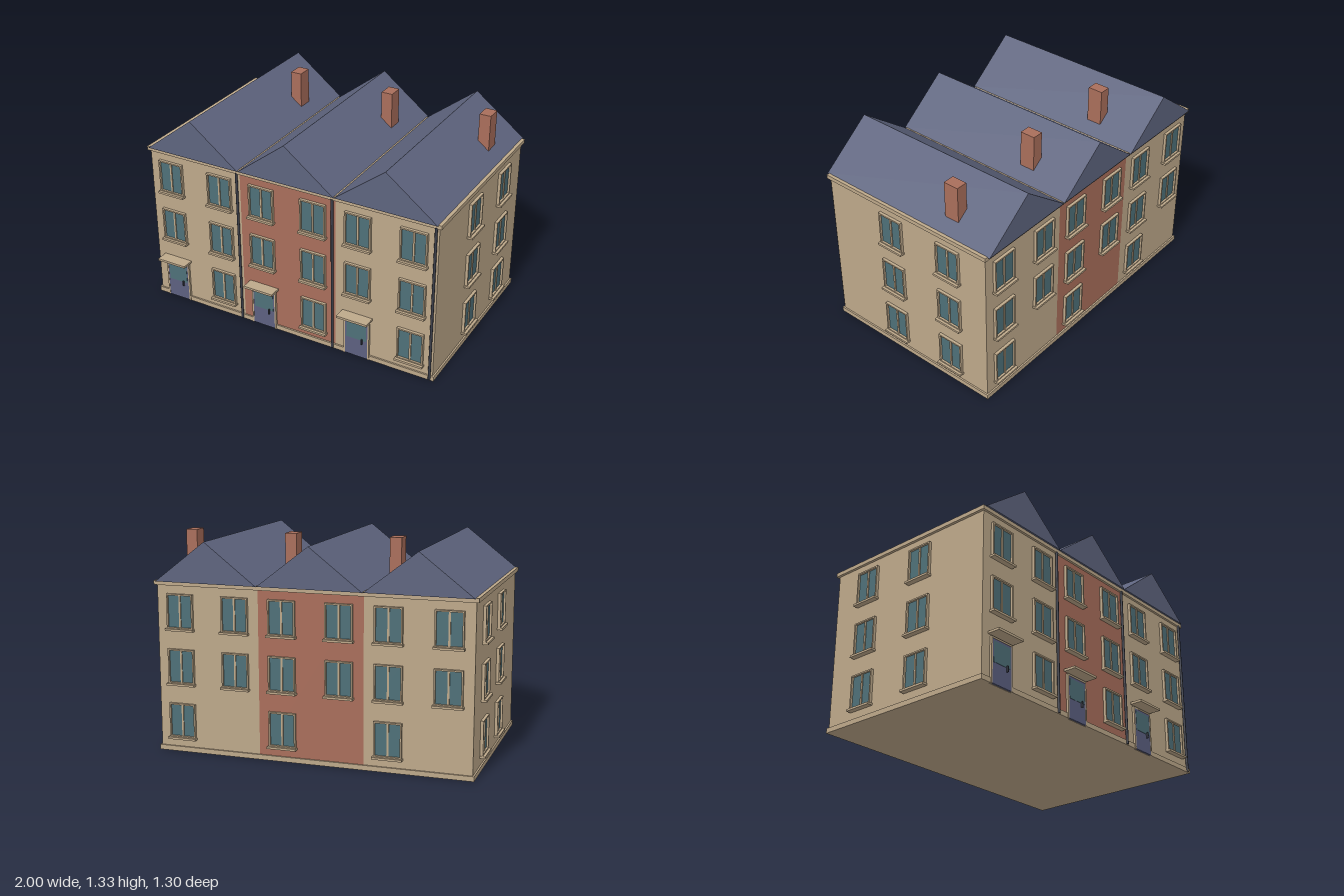
import * as THREE from 'three';

const mat = (name, color) => {
  const m = new THREE.MeshStandardMaterial({ color });
  m.name = name;
  return m;
};

export function createModel() {
  const stone = mat('stone', 0xbda88a);
  const brick = mat('brick', 0xa96e5b);
  const slate = mat('slate', 0x5e647e);
  const glass = mat('glass', 0x4e7078);
  const doorPaint = mat('doorPaint', 0x5c6080);
  const iron = mat('iron', 0x3a3d48);

  const model = new THREE.Group();
  model.name = 'terracedHouses';

  // Box given by its lower and upper limits on each axis
  const box = (parent, name, material, [x0, x1], [y0, y1], [z0, z1]) => {
    const mesh = new THREE.Mesh(new THREE.BoxGeometry(x1 - x0, y1 - y0, z1 - z0), material);
    mesh.position.set((x0 + x1) / 2, (y0 + y1) / 2, (z0 + z1) / 2);
    mesh.name = name;
    parent.add(mesh);
    return mesh;
  };

  const WALL_X = 0.966, FRONT = 0.57, BACK = -0.615, PITCH = 0.644;
  const FLOORS = [0.09, 0.425, 0.76];

  // Window frame: rectangular ring, extruded away from the wall
  const ring = new THREE.Shape();
  ring.moveTo(-0.084, 0).lineTo(0.084, 0).lineTo(0.084, 0.21).lineTo(-0.084, 0.21).closePath();
  const hole = new THREE.Path();
  hole.moveTo(-0.075, 0.008).lineTo(-0.075, 0.201).lineTo(0.075, 0.201).lineTo(0.075, 0.008).closePath();
  ring.holes.push(hole);
  const frameGeometry = new THREE.ExtrudeGeometry(ring, { depth: 0.018, bevelEnabled: false });

  function addWindow(x, y, z, turn) {
    const win = new THREE.Group();
    win.name = 'window';
    const frame = new THREE.Mesh(frameGeometry, stone);
    frame.name = 'windowFrame';
    win.add(frame);
    box(win, 'windowPane', glass, [-0.076, 0.076], [0.006, 0.203], [0, 0.005]);
    box(win, 'windowMullion', stone, [-0.006, 0.006], [0.006, 0.203], [0, 0.011]);
    box(win, 'windowSill', stone, [-0.09, 0.09], [-0.012, 0.001], [0, 0.034]);
    win.position.set(x, y, z);
    win.rotation.y = turn;
    model.add(win);
  }

  function addDoor(x) {
    const door = new THREE.Group();
    door.name = 'frontDoor';
    for (const s of [-1, 1]) {
      const a = s * 0.075, b = s * 0.085;
      box(door, 'doorJamb', stone, [Math.min(a, b), Math.max(a, b)], [0, 0.272], [0, 0.014]);
    }
    box(door, 'doorHead', stone, [-0.085, 0.085], [0.261, 0.272], [0, 0.014]);
    box(door, 'doorLeaf', doorPaint, [-0.075, 0.075], [0.002, 0.261], [0, 0.012]);
    box(door, 'doorPane', glass, [-0.066, 0.066], [0.125, 0.248], [0.011, 0.014]);
    box(door, 'doorHandle', iron, [0.035, 0.042], [0.1, 0.135], [0.012, 0.024]);
    box(door, 'doorCanopy', stone, [-0.1, 0.1], [0.281, 0.295], [0, 0.078]);
    door.position.set(x, 0, FRONT);
    model.add(door);
  }

  // Gable roof: triangular prism along z
  const gable = new THREE.Shape();
  gable.moveTo(-0.32, 0).lineTo(0.32, 0).lineTo(0, 0.247).closePath();
  const roofGeometry = new THREE.ExtrudeGeometry(gable, { depth: 1.24, bevelEnabled: false });
  roofGeometry.translate(0, 0, -0.645);

  for (let i = -1; i <= 1; i++) {
    const cx = i * PITCH;

    // Walls, with the middle house in brick
    box(model, 'houseWalls', i === 0 ? brick : stone, [cx - PITCH / 2, cx + PITCH / 2], [0.01, 1.04], [BACK, FRONT]);

    const roof = new THREE.Mesh(roofGeometry, slate);
    roof.name = 'roof';
    roof.position.set(cx, 1.043, 0);
    model.add(roof);
    box(model, 'chimney', brick, [cx + 0.175, cx + 0.246], [1.05, 1.325], [-0.361, -0.265]);

    // Drainpipe down the front
    const pipe = new THREE.Mesh(new THREE.CylinderGeometry(0.008, 0.008, 1.02, 10), iron);
    pipe.name = 'drainpipe';
    pipe.position.set(cx + 0.305, 0.515, FRONT + 0.01);
    model.add(pipe);

    // Front and back windows; the ground floor has only one on each face
    FLOORS.forEach((y, floor) => {
      for (const s of [-1, 1]) {
        if (floor === 0 && s < 0) continue;
        addWindow(cx + s * 0.175, y, FRONT, 0);
        addWindow(cx + s * 0.175, y, BACK, Math.PI);
      }
    });
    addDoor(cx - 0.175);
  }

  // Side windows
  for (const s of [-1, 1])
    for (const y of FLOORS)
      for (const z of [0.085, -0.345]) addWindow(s * WALL_X, y, z, s * Math.PI / 2);

  // Plinth, with its front strip interrupted at the doors
  box(model, 'plinth', stone, [-0.976, 0.976], [0, 0.03], [BACK - 0.01, FRONT - 0.001]);
  let start = -0.976;
  for (const end of [-PITCH - 0.26, -0.26, PITCH - 0.26, 0.976]) {
    box(model, 'plinthFront', stone, [start, end], [0, 0.03], [FRONT - 0.002, FRONT + 0.01]);
    start = end + 0.17;
  }

  // Cornice under the eaves
  box(model, 'cornice', stone, [-0.982, 0.982], [1.02, 1.045], [BACK - 0.014, FRONT + 0.014]);

  return model;
}
